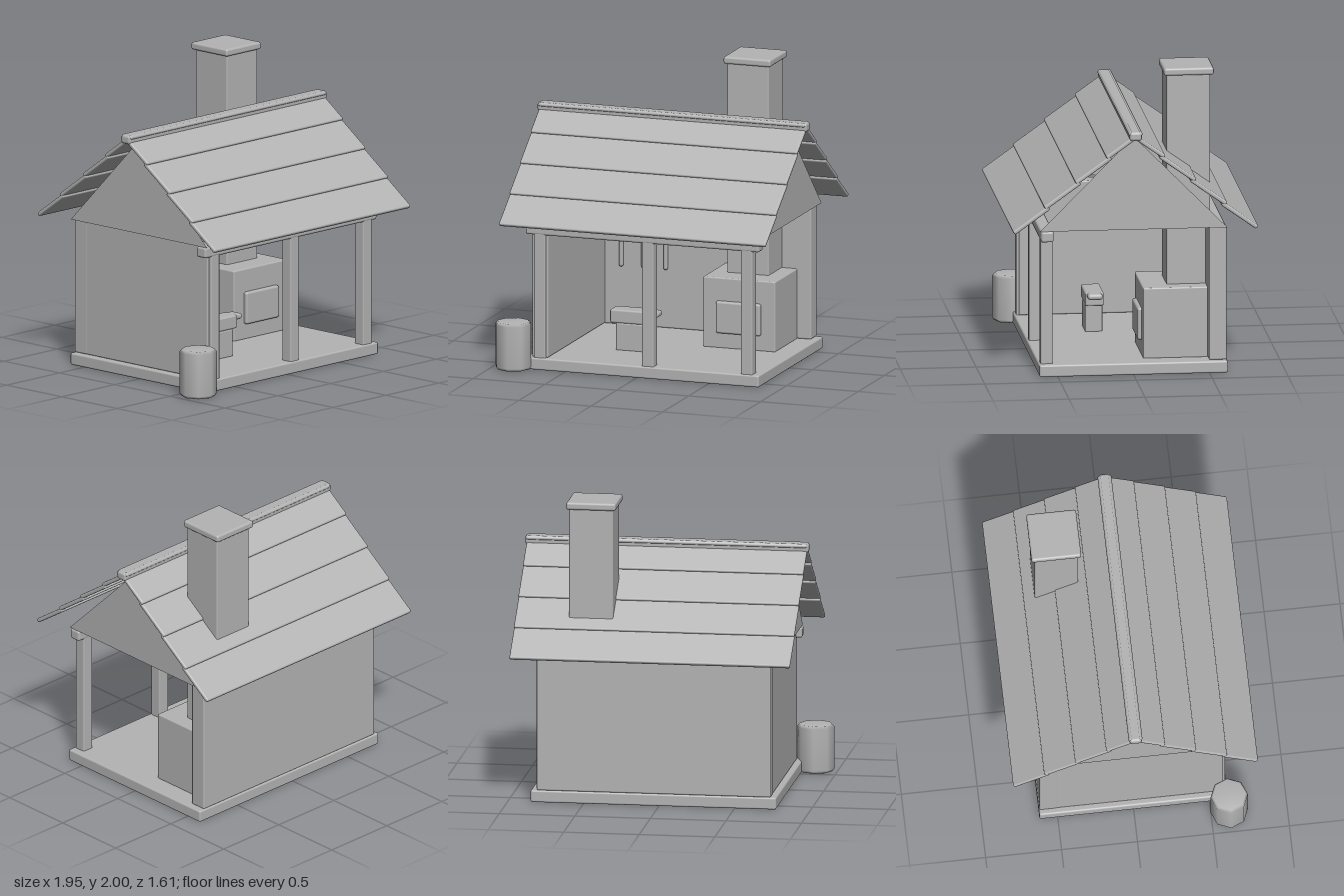
import * as THREE from 'three';
import { RoundedBoxGeometry } from 'three/addons/geometries/RoundedBoxGeometry.js';

export function createModel() {
  const model = new THREE.Group();
  model.name = 'forgeHut';
  const grey = new THREE.MeshStandardMaterial({ color: 0xb3b3b3, side: THREE.DoubleSide });
  grey.name = 'plain grey';

  const add = (name, geometry, parent = model) => {
    const mesh = new THREE.Mesh(geometry, grey);
    mesh.name = name;
    parent.add(mesh);
    return mesh;
  };
  // Soft-edged box given by its limits on each axis
  const box = (name, [x0, x1], [y0, y1], [z0, z1], r = 0.01, parent = model) => {
    const mesh = add(name, new RoundedBoxGeometry(x1 - x0, y1 - y0, z1 - z0, 2, r), parent);
    mesh.position.set((x0 + x1) / 2, (y0 + y1) / 2, (z0 + z1) / 2);
    return mesh;
  };

  // Floor and the two walls (front and right side stay open)
  box('floor', [-0.775, 0.85], [0, 0.08], [-0.62, 0.62], 0.012);
  box('backWall', [-0.74, 0.81], [0.08, 0.975], [-0.615, -0.5]);
  box('leftWall', [-0.738, -0.625], [0.08, 0.973], [-0.612, 0.59]);

  // Front posts and the beam over them
  for (const x of [-0.68, 0.072, 0.76]) {
    box('frontPost', [x - 0.041, x + 0.041], [0.07, 0.965], [0.528, 0.608]);
  }
  box('frontBeam', [-0.778, 0.848], [0.903, 0.975], [0.526, 0.61], 0.015);

  // Thin triangular gables
  const triangle = new THREE.Shape([
    new THREE.Vector2(-0.617, 0.975),
    new THREE.Vector2(0.617, 0.975),
    new THREE.Vector2(0, 1.6),
  ]);
  for (const [name, x, turn] of [['rightGable', 0.84, 1], ['leftGable', -0.77, -1]]) {
    const gable = add(name, new THREE.ShapeGeometry(triangle));
    gable.position.x = x;
    gable.rotation.y = turn * Math.PI / 2;
  }

  // Overlapping roof boards on both slopes
  const tilt = 0.62, length = 0.285;
  for (const side of [1, -1]) {
    const slope = new THREE.Group();
    slope.name = side > 0 ? 'frontRoof' : 'backRoof';
    for (let i = 0; i < 4; i++) {
      const board = add('roofBoard', new RoundedBoxGeometry(1.855, 0.028, length, 2, 0.011), slope);
      const z = 0.802 - 0.204 * i - Math.cos(tilt) * length / 2;
      const y = 0.996 + 0.163 * i + Math.sin(tilt) * length / 2;
      board.position.set(0.035, y, side * z);
      board.rotation.x = side * tilt;
    }
    model.add(slope);
  }
  box('roofRidge', [-0.903, 0.973], [1.597, 1.657], [-0.04, 0.04], 0.018);

  // Hearth with its front plate, chimney and cap
  box('hearth', [0.21, 0.713], [0.075, 0.55], [-0.505, -0.077]);
  box('hearthMouth', [0.305, 0.615], [0.18, 0.395], [-0.11, -0.05], 0.015);
  box('chimney', [0.317, 0.608], [0.54, 1.955], [-0.53, -0.243]);
  box('chimneyCap', [0.297, 0.625], [1.95, 2], [-0.553, -0.225], 0.015);

  // Anvil
  const anvil = new THREE.Group();
  anvil.name = 'anvil';
  box('anvilBlock', [-0.292, -0.102], [0.075, 0.262], [0.1, 0.214], 0.01, anvil);
  box('anvilBody', [-0.332, -0.062], [0.26, 0.35], [0.095, 0.217], 0.012, anvil);
  box('anvilHorn', [-0.09, -0.002], [0.31, 0.35], [0.108, 0.206], 0.018, anvil);
  model.add(anvil);

  // Tools hanging on the back wall
  for (const x of [-0.508, -0.353, -0.198]) {
    const tool = add('hangingTool', new THREE.CapsuleGeometry(0.016, 0.2, 4, 8));
    tool.position.set(x, 0.588, -0.49);
  }

  // Eight-sided barrel with chamfered rims
  const profile = [[0, 0], [0.108, 0], [0.123, 0.018], [0.123, 0.297], [0.108, 0.315], [0, 0.315]];
  const barrel = add('barrel', new THREE.LatheGeometry(profile.map(([r, y]) => new THREE.Vector2(r, y)), 8));
  barrel.position.set(-0.857, 0, 0.62);

  return model;
}
